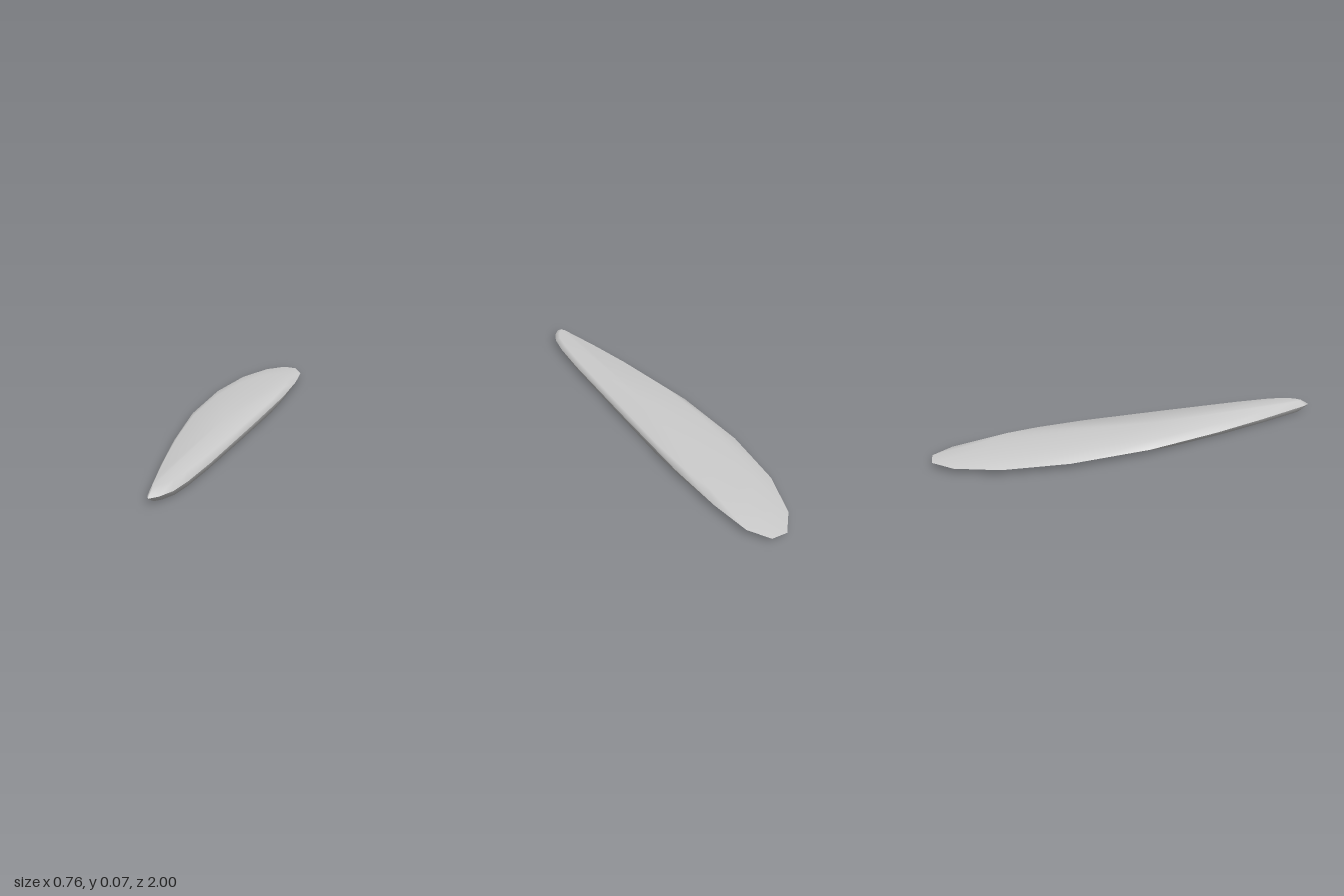
import * as THREE from 'three';

// Outline of the blade seen from above as [x, z], counter-clockwise
const RIM = [
  [-0.23, -1], [-0.307, -0.985], [-0.365, -0.868], [-0.381, -0.635], [-0.323, -0.307],
  [-0.185, 0.085], [0, 0.444], [0.159, 0.714], [0.28, 0.905], [0.323, 0.974],
  [0.349, 1], [0.37, 0.958], [0.381, 0.884], [0.365, 0.767], [0.317, 0.56],
  [0.18, 0.053], [0.037, -0.455], [-0.06, -0.735], [-0.143, -0.92],
];
const MID = 0.034; // height of the sharp rim, half the thickness

// One half: a bevel from the rim to a smaller flat face, shrunk towards the narrow tip
function halfBlade(side) {
  const n = RIM.length;
  const inner = ([x, z]) => [0.054 + 0.8 * x, 0.115 + 0.835 * z];
  const faceY = MID + side * MID;
  const positions = [];
  const indices = [];
  const tri = (a, b, c) => indices.push(...(side > 0 ? [a, b, c] : [a, c, b]));

  RIM.forEach(([x, z]) => positions.push(x, MID, z));
  RIM.map(inner).forEach(([x, z]) => positions.push(x, faceY, z));
  positions.push(0.054, faceY, 0.115);

  for (let i = 0; i < n; i++) {
    const j = (i + 1) % n;
    tri(i, j, n + j);
    tri(i, n + j, n + i);
    tri(n + i, n + j, 2 * n);
  }
  const geometry = new THREE.BufferGeometry();
  geometry.setAttribute('position', new THREE.Float32BufferAttribute(positions, 3));
  geometry.setIndex(indices);
  geometry.computeVertexNormals(); // smooth bevel, crease only at the rim
  return geometry;
}

export function createModel() {
  const group = new THREE.Group();
  group.name = 'blade';
  const material = new THREE.MeshStandardMaterial({ color: 0xcccccc });
  for (const [name, side] of [['upperHalf', 1], ['lowerHalf', -1]]) {
    const mesh = new THREE.Mesh(halfBlade(side), material);
    mesh.name = name;
    group.add(mesh);
  }
  return group;
}
